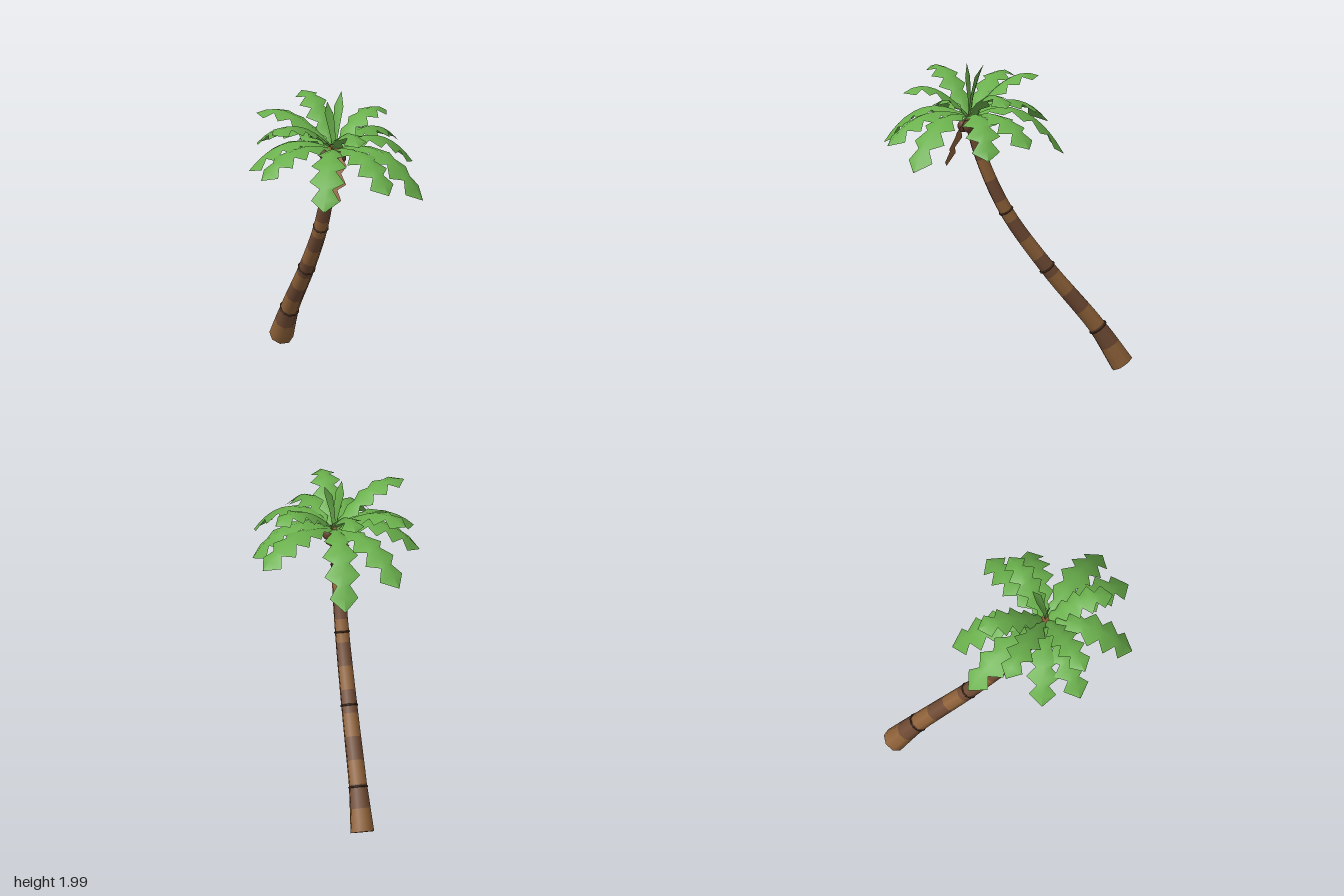
import * as THREE from 'three';

const mat = (name, color, side = THREE.FrontSide) => {
  const m = new THREE.MeshStandardMaterial({ color, side });
  m.name = name;
  return m;
};
const V = (x, y, z) => new THREE.Vector3(x, y, z);

// Leaf outlines: [position along the rib, half width]
const FROND = [
  [0, 0.012], [0.1, 0.045], [0.17, 0.03], [0.28, 0.085], [0.37, 0.046], [0.48, 0.11],
  [0.57, 0.05], [0.68, 0.11], [0.77, 0.04], [0.88, 0.088], [1, 0.002],
];
const DRY = [[0, 0.02], [0.2, 0.075], [0.36, 0.045], [0.52, 0.085], [0.66, 0.035], [0.82, 0.07], [1, 0.003]];
const SPEAR = [[0, 0.01], [0.35, 0.02], [0.75, 0.03], [1, 0.001]];

// Leaf following a bent curve, its edges folded down from the rib
function leafGeometry(base, bend, tip, outline, scale, side, fold) {
  const curve = new THREE.QuadraticBezierCurve3(base, bend, tip);
  const pos = [], index = [];
  outline.forEach(([t, w], i) => {
    const p = curve.getPointAt(t);
    const up = curve.getTangentAt(t).cross(side).normalize();
    for (const s of [-1, 0, 1]) {
      const q = p.clone().addScaledVector(side, s * w * scale);
      if (s) q.addScaledVector(up, -w * scale * fold);
      pos.push(q.x, q.y, q.z);
    }
    if (!i) return;
    const a = 3 * (i - 1), b = 3 * i;
    for (const k of [0, 1]) index.push(a + k, b + k, a + k + 1, a + k + 1, b + k, b + k + 1);
  });
  const g = new THREE.BufferGeometry();
  g.setAttribute('position', new THREE.Float32BufferAttribute(pos, 3));
  g.setIndex(index);
  g.computeVertexNormals();
  return g;
}

// Tapered trunk in alternating bands
function trunkGeometry(curve, radius, bands, sides) {
  const pos = [], index = [], g = new THREE.BufferGeometry();
  const rows = bands * 2;
  const loop = (t) => {
    const p = curve.getPointAt(t), d = curve.getTangentAt(t);
    const n = V(1, 0, 0).cross(d).normalize();
    for (let j = 0; j < sides; j++) {
      const a = ((j + 0.5) / sides) * Math.PI * 2, r = radius(t);
      const q = p.clone().addScaledVector(n, Math.sin(a) * r);
      pos.push(q.x + Math.cos(a) * r, q.y, q.z);
    }
  };
  for (let i = 0; i <= rows; i++) loop(i / rows);
  for (let i = 0; i < rows; i++) {
    for (let j = 0; j < sides; j++) {
      const a = i * sides + j, b = i * sides + ((j + 1) % sides);
      index.push(a, a + sides, b, b, a + sides, b + sides);
    }
  }
  // end caps on their own corners
  const c0 = (rows + 1) * sides, c1 = c0 + sides;
  loop(0);
  loop(1);
  for (let j = 1; j < sides - 1; j++) index.push(c0, c0 + j, c0 + j + 1, c1, c1 + j + 1, c1 + j);
  g.setAttribute('position', new THREE.Float32BufferAttribute(pos, 3));
  g.setIndex(index);
  const step = sides * 12;
  for (let i = 0; i < bands; i++) g.addGroup(i * step, step, i % 2);
  g.addGroup(bands * step, (sides - 2) * 6, 0);
  g.computeVertexNormals();
  return g;
}

export function createModel() {
  const model = new THREE.Group();
  model.name = 'palmTree';
  const green = mat('leafGreen', 0x6ab04c, THREE.DoubleSide);
  const dry = mat('dryLeafBrown', 0x98683f, THREE.DoubleSide);
  const lightBark = mat('lightBark', 0x8f6239);
  const darkBark = mat('darkBark', 0x704b34);
  const ringBrown = mat('ringBrown', 0x4a3022);
  const nutBrown = mat('coconutBrown', 0x63402c);
  const add = (name, geometry, material, parent = model) => {
    const m = new THREE.Mesh(geometry, material);
    m.name = name;
    parent.add(m);
    return m;
  };

  // Leaning trunk
  const x = -0.01;
  const path = new THREE.CatmullRomCurve3([
    V(x, 0.043, -0.722), V(x, 0.28, -0.57), V(x, 0.68, -0.25),
    V(x, 1.06, 0.01), V(x, 1.43, 0.17), V(x, 1.67, 0.235),
  ]);
  const radius = (t) => 0.061 - 0.025 * t + 0.014 * Math.max(0, 1 - t / 0.15);
  add('trunk', trunkGeometry(path, radius, 13, 8), [lightBark, darkBark]);

  // Raised rings around the trunk
  for (const t of [0.146, 0.412, 0.65, 0.87]) {
    const ring = add('trunkRing', new THREE.TorusGeometry(radius(t), 0.006, 5, 10), ringBrown);
    const p = path.getPointAt(t);
    ring.position.copy(p);
    ring.lookAt(p.add(path.getTangentAt(t)));
  }

  // Crown of arching fronds: [tip x, tip y, tip z, bend height, scale]
  const crown = new THREE.Group();
  crown.name = 'crown';
  model.add(crown);
  const fronds = [
    // lower, drooping
    [0.03, 1.4, -0.35, 1.85, 1], [-0.31, 1.52, -0.32, 1.83, 1], [-0.51, 1.53, 0.1, 1.83, 0.95],
    [-0.515, 1.56, 0.34, 1.82, 0.95], [-0.24, 1.46, 0.72, 1.84, 1], [0.16, 1.54, 0.78, 1.83, 1],
    [0.42, 1.43, 0.67, 1.85, 1], [0.51, 1.5, 0.22, 1.84, 1], [0.49, 1.56, -0.04, 1.82, 1],
    // upper, raised
    [-0.06, 1.88, -0.21, 1.98, 0.85], [-0.39, 1.82, -0.1, 1.96, 0.85], [-0.46, 1.87, 0.38, 1.98, 0.85],
    [0.01, 1.83, 0.65, 1.96, 0.85], [0.39, 1.8, 0.08, 1.96, 0.85],
  ];
  for (const [tx, ty, tz, bendY, scale] of fronds) {
    const base = V(0, 1.65, 0.23), tip = V(tx, ty, tz);
    const out = V(tx, 0, tz - 0.23);
    const bend = V(0, bendY, 0.23).addScaledVector(out, 0.58);
    const side = V(0, 1, 0).cross(out).normalize();
    side.negate();
    add('frond', leafGeometry(base, bend, tip, FROND, scale, side.negate(), 0.38), green, crown);
  }

  // Young upright leaves
  for (const [tx, ty, tz] of [[0.07, 2, 0.16], [-0.05, 1.98, 0.24]]) {
    const side = V(0.75, 0, 0.65).normalize();
    const bend = V(tx * 0.3, 1.85, 0.22);
    add('youngLeaf', leafGeometry(V(0, 1.66, 0.23), bend, V(tx, ty, tz), SPEAR, 1, side, 0.3), green, crown);
  }

  // Dry frond hanging in front of the trunk
  add('dryFrond', leafGeometry(V(0, 1.65, 0.25), V(-0.02, 1.56, 0.31), V(-0.085, 1.33, 0.36),
    DRY, 1, V(0.76, -0.2, 0.62).normalize(), 0.12), dry);

  // Coconuts under the crown
  for (const [cx, cy, cz] of [[-0.05, 1.61, 0.19], [0.035, 1.605, 0.25], [-0.02, 1.595, 0.27]]) {
    const nut = add('coconut', new THREE.SphereGeometry(0.034, 10, 7), nutBrown);
    nut.position.set(cx, cy, cz);
    nut.scale.y = 1.15;
  }
  return model;
}
